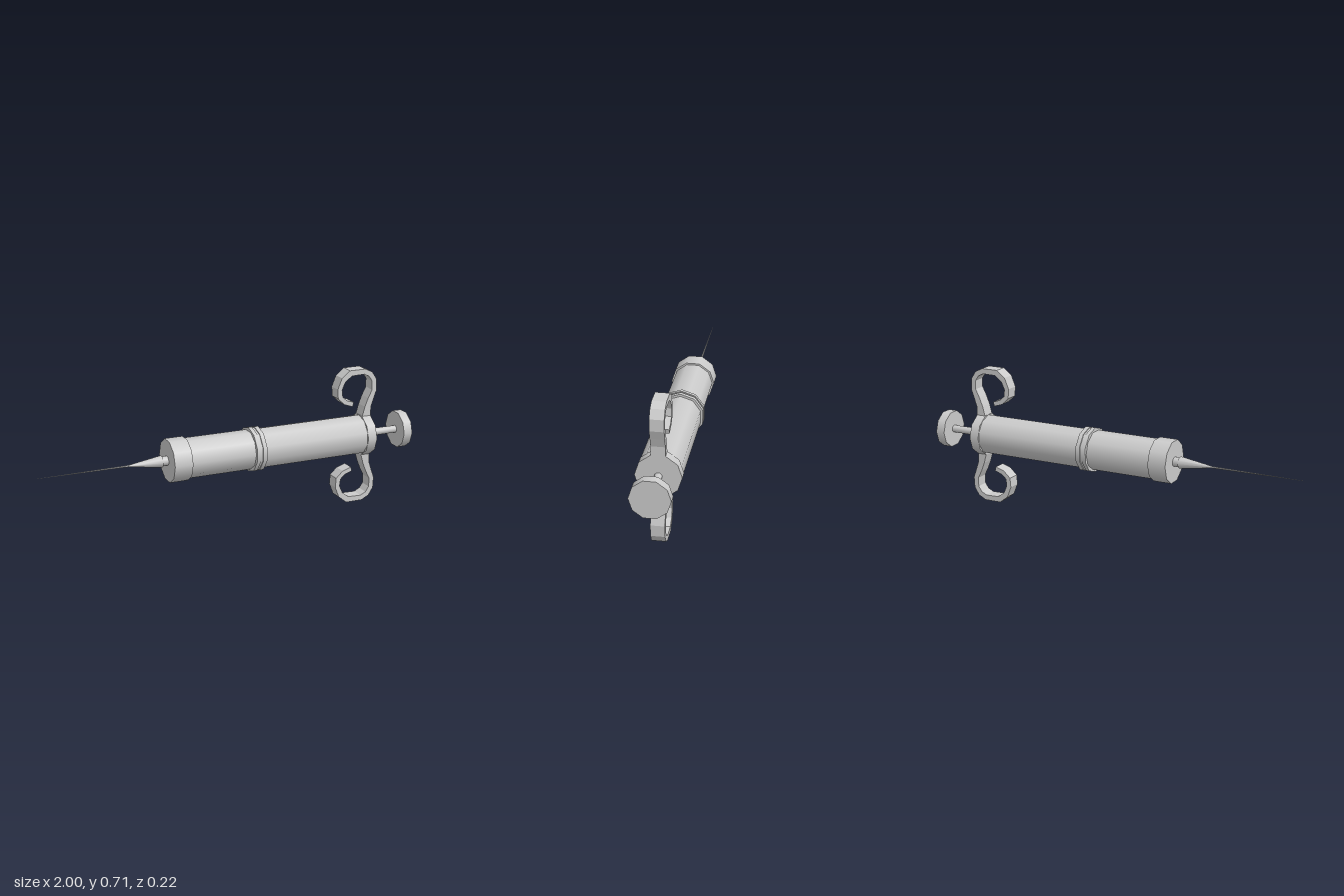
import * as THREE from 'three';

const AXIS = 0.358; // height of the barrel's centre line
const material = new THREE.MeshStandardMaterial({ color: 0xcccccc });

export function createModel() {
  const model = new THREE.Group();

  // Cylinder or cone lying along x; by default a flat side faces up
  function barrelPart(name, x0, x1, r0, r1 = r0, sides = 10, cornerUp = false) {
    const geometry = new THREE.CylinderGeometry(
      r1, r0, x1 - x0, sides, 1, false, cornerUp ? Math.PI / 2 : 0);
    const mesh = new THREE.Mesh(geometry, material);
    mesh.name = name;
    mesh.rotation.z = -Math.PI / 2;
    mesh.position.set((x0 + x1) / 2, AXIS, 0);
    model.add(mesh);
  }

  // Needle and nozzle
  barrelPart('needle', -1, -0.52, 0.0005, 0.005, 8);
  barrelPart('nozzleCone', -0.54, -0.365, 0.004, 0.03);
  barrelPart('nozzleNeck', -0.365, -0.33, 0.024);

  // Barrel with its front cap, middle collar and rear flange
  barrelPart('frontCap', -0.335, -0.24, 0.11);
  barrelPart('frontBarrel', -0.26, 0.12, 0.101);
  barrelPart('rearBarrel', 0.12, 0.78, 0.104, 0.104, 10, true);
  barrelPart('collarFrontRim', 0.102, 0.122, 0.116, 0.116, 10, true);
  barrelPart('collarGroove', 0.122, 0.135, 0.111, 0.111, 10, true);
  barrelPart('collarRearRim', 0.135, 0.157, 0.116, 0.116, 10, true);
  barrelPart('rearFlange', 0.733, 0.783, 0.11);

  // Plunger
  barrelPart('plungerRod', 0.77, 0.96, 0.019);
  barrelPart('plungerDisc', 0.952, 1, 0.097);

  // Curled finger grip: outer edge, then back along the inner edge
  const outline = [
    [0.783, 0.08], [0.783, 0.15], [0.798, 0.195], [0.814, 0.24], [0.811, 0.297],
    [0.785, 0.337], [0.745, 0.357], [0.655, 0.357], [0.61, 0.322], [0.587, 0.265],
    [0.591, 0.215], [0.628, 0.18], [0.676, 0.164],
    [0.682, 0.187], [0.642, 0.2], [0.617, 0.222], [0.612, 0.26], [0.63, 0.3],
    [0.667, 0.328], [0.738, 0.33], [0.768, 0.315], [0.786, 0.288], [0.787, 0.242],
    [0.766, 0.2], [0.748, 0.155], [0.735, 0.108], [0.735, 0.08],
  ];
  const shape = new THREE.Shape(outline.map(([x, y]) => new THREE.Vector2(x, y)));
  const gripGeometry = new THREE.ExtrudeGeometry(shape, { depth: 0.068, bevelEnabled: false });
  gripGeometry.translate(0, 0, -0.034);
  ['upperFingerGrip', 'lowerFingerGrip'].forEach((name, i) => {
    const grip = new THREE.Mesh(gripGeometry, material);
    grip.name = name;
    grip.position.y = AXIS;
    grip.rotation.x = i * Math.PI;
    model.add(grip);
  });

  return model;
}
